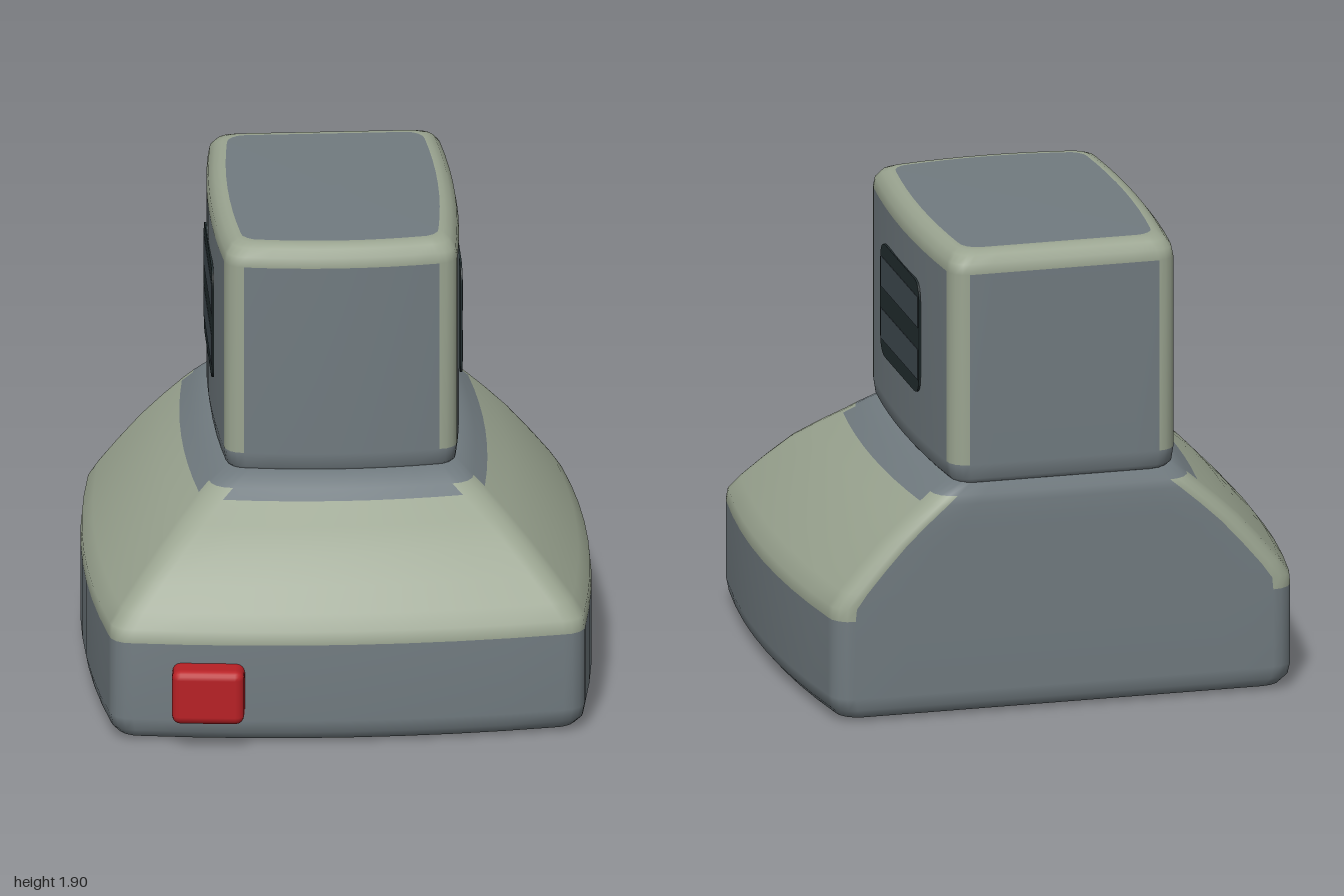
import * as THREE from 'three';
import { RoundedBoxGeometry } from 'three/addons/geometries/RoundedBoxGeometry.js';

const mat = (name, color) => {
  const m = new THREE.MeshStandardMaterial({ color });
  m.name = name;
  return m;
};

// Rounded outline with bulging front and sides and a straight back:
// 48 points, from the front centre round by +x to the back and home by -x.
function outline([y, w, zF, zB], radius) {
  const r = radius * Math.min(1, w / 0.4), bx = 0.06 * w, bz = 0.065 * w;
  const cx = w - bx, ix = cx - r, z1 = zF - bz - r, z2 = zB + r;
  const half = [];
  for (let k = 0; k <= 4; k++) half.push([ix * k / 4, zF - bz * (k / 4) ** 2]);
  for (let k = 1; k <= 4; k++) {
    const a = k * Math.PI / 8;
    half.push([ix + r * Math.sin(a), z1 + r * Math.cos(a)]);
  }
  for (let k = 1; k <= 8; k++) {
    const t = k / 8;
    half.push([cx + bx * (1 - (2 * t - 1) ** 2), z1 + (z2 - z1) * t]);
  }
  for (let k = 1; k <= 4; k++) {
    const a = k * Math.PI / 8;
    half.push([ix + r * Math.cos(a), z2 - r * Math.sin(a)]);
  }
  for (let k = 1; k <= 4; k++) half.push([ix * (1 - k / 4), zB]);
  const mirrored = half.slice(1, -1).reverse().map(([x, z]) => [-x, z]);
  return [...half, ...mirrored].map(([x, z]) => [x, y, z]);
}

// Skin a stack of outlines; pick(ring, segment) gives the material index.
// Segments: 0-3 front, 4-7 front corner, 8-15 side, 16-19 back corner, 20-23 back.
function loft(rings, radius, materials, pick) {
  const n = 48;
  const positions = rings.flatMap((ring) => outline(ring, radius).flat());
  const faces = materials.map(() => []);
  for (let i = 0; i < rings.length - 1; i++) {
    for (let j = 0; j < n; j++) {
      const a = i * n + j, b = i * n + (j + 1) % n, c = b + n, d = a + n;
      faces[pick(i, j < 24 ? j : 47 - j)].push(a, b, c, a, c, d);
    }
  }
  const geo = new THREE.BufferGeometry();
  geo.setAttribute('position', new THREE.Float32BufferAttribute(positions, 3));
  geo.setIndex(faces.flat());
  let start = 0;
  faces.forEach((f, m) => {
    geo.addGroup(start, f.length, m);
    start += f.length;
  });
  geo.computeVertexNormals();
  return new THREE.Mesh(geo, materials);
}

function roundedRect(w, h, r) {
  const s = new THREE.Shape(), x = w / 2, y = h / 2;
  s.moveTo(-x + r, -y).lineTo(x - r, -y).quadraticCurveTo(x, -y, x, -y + r);
  s.lineTo(x, y - r).quadraticCurveTo(x, y, x - r, y);
  s.lineTo(-x + r, y).quadraticCurveTo(-x, y, -x, y - r);
  s.lineTo(-x, -y + r).quadraticCurveTo(-x, -y, -x + r, -y);
  return s;
}

export function createModel() {
  const group = new THREE.Group();
  const grey = mat('grey', 0x717b80);
  const sage = mat('sage', 0x9ba591);
  const dark = mat('ventDark', 0x232e30);
  const slatGrey = mat('slatGrey', 0x414c53);
  const red = mat('red', 0xb82025);
  const add = (name, mesh, parent = group) => {
    mesh.name = name;
    parent.add(mesh);
    return mesh;
  };

  // Base: vent recess underneath, straight skirt, sloping shoulders
  const baseRings = [
    [0.1, 0, -0.04, -0.04], [0.1, 0.58, 0.55, -0.6], [0.035, 0.6, 0.57, -0.62],
    [0.008, 0.65, 0.62, -0.67], [0, 0.74, 0.7, -0.75], [0, 0.91, 0.8, -0.87],
    [0.015, 0.96, 0.84, -0.92], [0.05, 0.99, 0.868, -0.943], [0.1, 1, 0.875, -0.95],
    [0.42, 1, 0.875, -0.95], [0.47, 0.995, 0.86, -0.95], [0.53, 0.95, 0.82, -0.95],
    [0.62, 0.87, 0.75, -0.95], [0.72, 0.775, 0.665, -0.95], [0.8, 0.685, 0.565, -0.95],
    [0.87, 0.6, 0.47, -0.948], [0.905, 0.555, 0.43, -0.942], [0.96, 0.48, 0.36, -0.92],
    [0.97, 0, -0.28, -0.28],
  ];
  add('base', loft(baseRings, 0.09, [grey, sage, dark], (i, s) => {
    if (i < 2) return 2;
    const corner = (s >= 4 && s < 8) || (s >= 16 && s < 20);
    return s < 20 && i >= 9 && i < (corner ? 16 : 15) ? 1 : 0;
  }));

  // Head: grey panels framed by pale rounded edges
  const headRings = [
    [0.94, 0, -0.29, -0.29], [0.945, 0.46, 0.34, -0.92], [0.97, 0.482, 0.362, -0.942],
    [1.03, 0.49, 0.37, -0.95], [1.815, 0.49, 0.37, -0.95], [1.855, 0.483, 0.363, -0.943],
    [1.885, 0.46, 0.34, -0.92], [1.898, 0.435, 0.31, -0.89], [1.9, 0.415, 0.285, -0.865],
    [1.9, 0, -0.29, -0.29],
  ];
  add('head', loft(headRings, 0.075, [grey, sage], (i, s) => {
    const corner = (s >= 4 && s < 8) || (s >= 16 && s < 20);
    return (i >= 4 && i < 8) || (i === 3 && corner) ? 1 : 0;
  }));

  // Side vents, one on each side of the head
  for (const side of [1, -1]) {
    const vent = add(side > 0 ? 'leftVent' : 'rightVent', new THREE.Group());
    vent.position.set(side * 0.486, 1.442, -0.27);
    vent.rotation.y = side * Math.PI / 2;
    const plate = new THREE.ExtrudeGeometry(roundedRect(0.6, 0.465, 0.08),
      { depth: 0.008, bevelEnabled: false });
    add('ventPlate', new THREE.Mesh(plate, dark), vent);
    for (const y of [0.108, -0.107]) {
      const slat = add('ventSlat',
        new THREE.Mesh(new THREE.BoxGeometry(0.58, 0.125, 0.008), slatGrey), vent);
      slat.position.set(0, y, 0.006);
    }
  }

  // Slats in the underside recess
  for (const x of [-0.3, 0, 0.3]) {
    const slat = add('bottomSlat',
      new THREE.Mesh(new THREE.BoxGeometry(0.16, 0.07, 1.13), slatGrey));
    slat.position.set(x, 0.065, -0.03);
  }

  // Front button
  const button = add('button',
    new THREE.Mesh(new RoundedBoxGeometry(0.285, 0.225, 0.18, 2, 0.035), red));
  button.position.set(-0.555, 0.23, 0.862);
  button.rotation.y = -0.09;

  return group;
}
